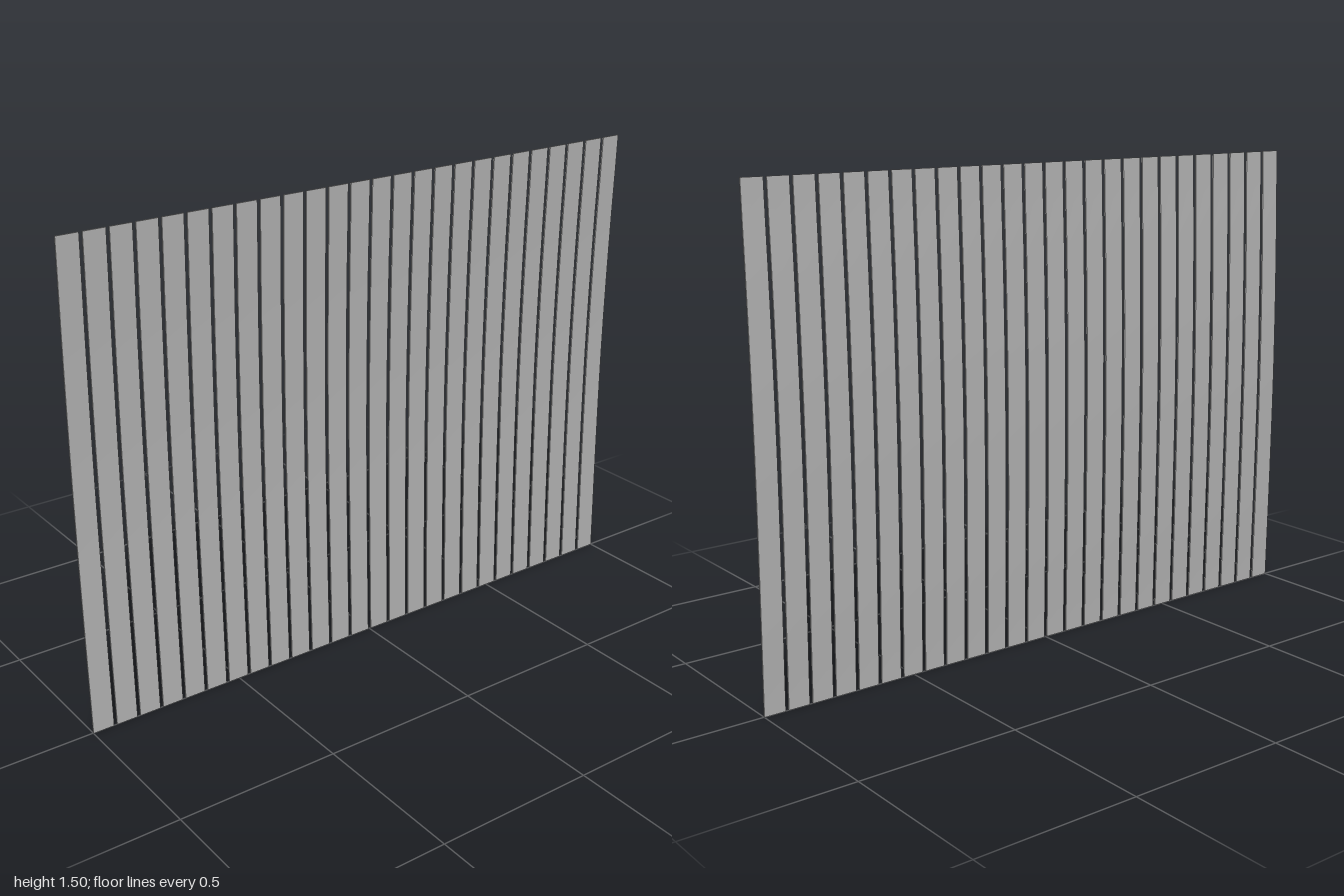
import * as THREE from 'three';

const COUNT = 26, WIDTH = 0.067, HEIGHT = 1.495, DEPTH = 0.005;

// Gentle bow shared by every slat, as (z, y) points from bottom to top
const bow = new THREE.SplineCurve([
  [0, 0], [-0.004, 0.25], [-0.007, 0.5], [-0.008, 0.75],
  [-0.005, 1.0], [0.001, 1.25], [0.009, HEIGHT],
].map(([z, y]) => new THREE.Vector2(z, y)));

// Thin upright board bent along the bow
function slatGeometry() {
  const geometry = new THREE.BoxGeometry(WIDTH, HEIGHT, DEPTH, 1, 12, 1);
  const pos = geometry.attributes.position;
  for (let i = 0; i < pos.count; i++) {
    const t = THREE.MathUtils.clamp(pos.getY(i) / HEIGHT + 0.5, 0, 1);
    const p = bow.getPoint(t);
    pos.setY(i, t * HEIGHT);
    pos.setZ(i, pos.getZ(i) + p.x);
  }
  geometry.computeVertexNormals();
  return geometry;
}

export function createModel() {
  const group = new THREE.Group();
  group.name = 'slatPanel';
  const grey = new THREE.MeshStandardMaterial({ color: 0xb4b4b4 });
  grey.name = 'slat grey';
  const geometry = slatGeometry();

  // Row of evenly spaced vertical slats with narrow gaps
  const pitch = (2 - WIDTH) / (COUNT - 1);
  for (let i = 0; i < COUNT; i++) {
    const slat = new THREE.Mesh(geometry, grey);
    slat.name = `slat${i + 1}`;
    slat.position.x = (i - (COUNT - 1) / 2) * pitch;
    group.add(slat);
  }
  return group;
}
